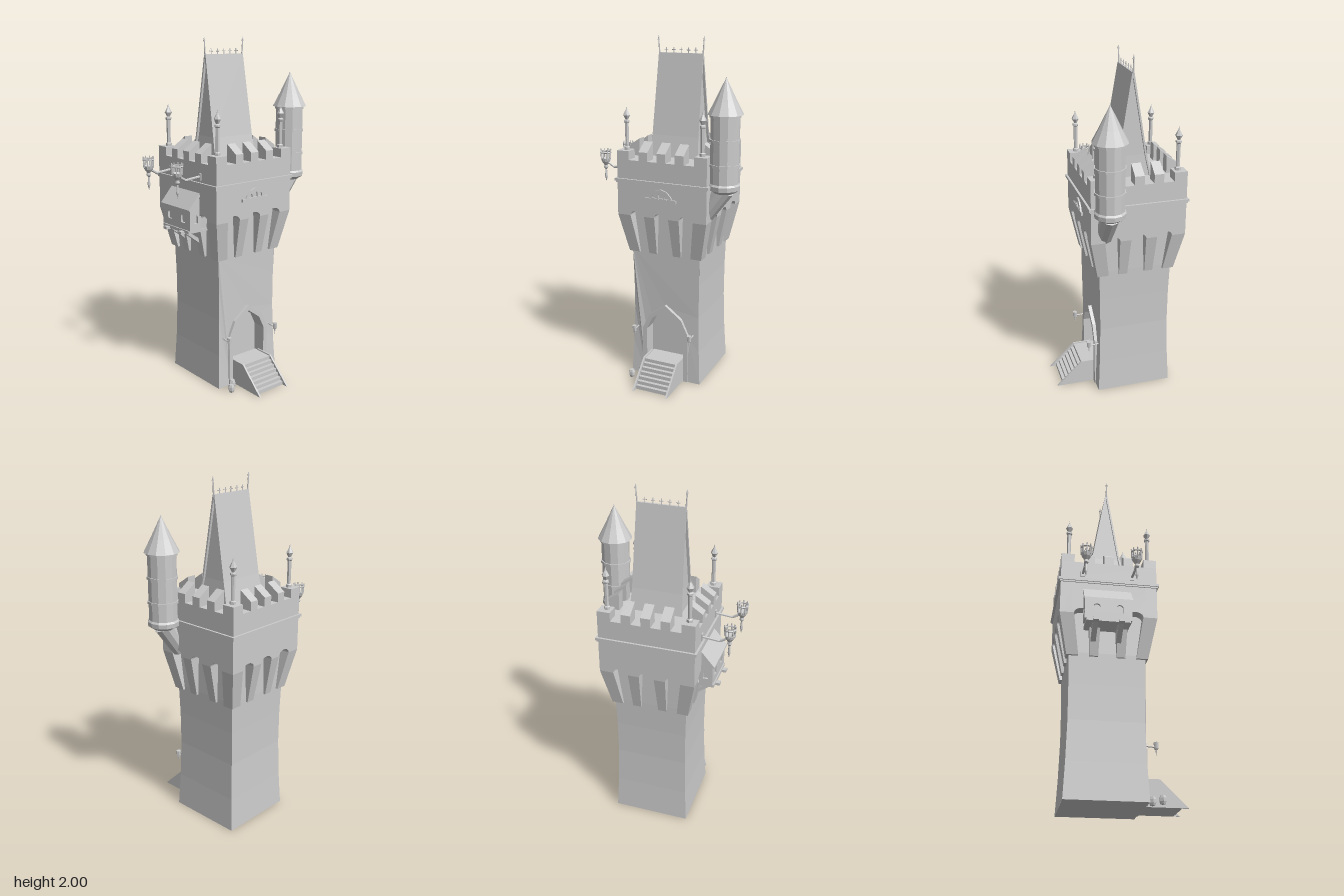
import * as THREE from 'three';

const mat = new THREE.MeshStandardMaterial({ color: 0xcccccc, flatShading: true, side: THREE.DoubleSide });

function add(parent, name, geo, x = 0, y = 0, z = 0) {
  const m = new THREE.Mesh(geo, mat);
  m.name = name;
  m.position.set(x, y, z);
  parent.add(m);
  return m;
}
function group(parent, name, x = 0, y = 0, z = 0) {
  const g = new THREE.Group();
  g.name = name;
  g.position.set(x, y, z);
  parent.add(g);
  return g;
}
// Tapered block: b and t are [x0, x1, z0, z1] at heights y0 and y1
function block(parent, name, y0, b, y1, t = b) {
  const geo = new THREE.BoxGeometry(1, 1, 1), p = geo.attributes.position;
  for (let i = 0; i < p.count; i++) {
    const r = p.getY(i) > 0 ? t : b;
    p.setXYZ(i, r[p.getX(i) > 0 ? 1 : 0], p.getY(i) > 0 ? y1 : y0, r[p.getZ(i) > 0 ? 3 : 2]);
  }
  geo.computeVertexNormals();
  return add(parent, name, geo);
}
const sq = (h) => [-h, h, -h, h];
const shapeOf = (pts) => new THREE.Shape(pts.map(([x, y]) => new THREE.Vector2(x, y)));
const extrude = (shape, depth) => new THREE.ExtrudeGeometry(shape, { depth, bevelEnabled: false, curveSegments: 8 });
const lathe = (pts, n) => new THREE.LatheGeometry(pts.map(([r, y]) => new THREE.Vector2(r, y)), n);
// Side profile in (z, y), swept from x0 to x1
function prism(parent, name, shape, x0, x1) {
  const m = add(parent, name, extrude(shape, x1 - x0), x1);
  m.rotation.y = -Math.PI / 2;
  return m;
}
// Round bar between two points
function bar(parent, name, a, b, r0, r1 = r0, n = 6) {
  const A = new THREE.Vector3(...a), B = new THREE.Vector3(...b), d = B.clone().sub(A);
  const m = add(parent, name, new THREE.CylinderGeometry(r1, r0, d.length(), n));
  m.position.copy(A).add(B).multiplyScalar(0.5);
  m.quaternion.setFromUnitVectors(new THREE.Vector3(0, 1, 0), d.normalize());
  return m;
}
const pointedArch = (w, s, a) => [[-w, 0], [-w, s], [-w * 0.7, s + (a - s) * 0.55], [0, a],
  [w * 0.7, s + (a - s) * 0.55], [w, s], [w, 0]];
function archHole(cx, y0, w, s) {
  const h = new THREE.Path();
  h.moveTo(cx - w, y0);
  h.lineTo(cx + w, y0);
  h.lineTo(cx + w, s);
  h.absarc(cx, s, w, 0, Math.PI, false);
  return h;
}

// Shaft half width by height
const LEVELS = [[0, 0.222], [0.2, 0.212], [0.42, 0.206], [0.62, 0.207], [0.8, 0.212], [1.1, 0.212]];
function halfWidth(y) {
  let i = 1;
  while (i < LEVELS.length - 1 && y > LEVELS[i][0]) i++;
  const [y0, h0] = LEVELS[i - 1], [y1, h1] = LEVELS[i];
  return h0 + (h1 - h0) * (y - y0) / (y1 - y0);
}

function buildTower(tower) {
  for (let k = 0; k < 4; k++) {
    const side = group(tower, 'towerSide');
    side.rotation.y = k * Math.PI / 2;
    // Shaft wall; the one facing +x has the doorway cut out
    let geo;
    if (k === 1) {
      const left = LEVELS.map(([y, h]) => [-h, y]), right = LEVELS.map(([y, h]) => [h, y]).reverse();
      geo = new THREE.ShapeGeometry(shapeOf([...left, ...right, ...pointedArch(0.13, 0.3, 0.45).reverse()]));
    } else {
      geo = new THREE.PlaneGeometry(2, 1, 1, LEVELS.length - 1);
      const p = geo.attributes.position;
      for (let i = 0; i < p.count; i++) {
        const [y, h] = LEVELS[LEVELS.length - 1 - Math.floor(i / 2)];
        p.setXY(i, p.getX(i) * h, y);
      }
    }
    const p = geo.attributes.position;
    for (let i = 0; i < p.count; i++) p.setZ(i, halfWidth(p.getY(i)));
    geo.computeVertexNormals();
    add(side, 'shaftWall', geo);

    // Overhanging wall with three shallow arches
    const s = new THREE.Shape();
    s.moveTo(-0.272, 1.01);
    for (const cx of [-0.15, 0, 0.15]) {
      s.lineTo(cx - 0.043, 1.01);
      s.absellipse(cx, 1.01, 0.043, 0.03, Math.PI, 0, true);
    }
    s.lineTo(0.272, 1.01);
    s.lineTo(0.272, 1.2);
    s.lineTo(-0.272, 1.2);
    add(side, 'archedWall', extrude(s, 0.064), 0, 0, 0.208);

    // Corbels
    for (const c of [-0.075, 0.075])
      block(side, 'corbel', 0.78, [c - 0.024, c + 0.024, 0.2, 0.224], 1.01, [c - 0.032, c + 0.032, 0.2, 0.272]);
    block(side, 'cornerCorbel', 0.78, [0.16, 0.225, 0.16, 0.225], 1.01, [0.193, 0.272, 0.193, 0.272]);

    // Merlons sloping outwards, corner block and spear finial
    for (const c of [-0.11, 0, 0.11])
      prism(side, 'merlon', shapeOf([[0.198, 1.33], [0.272, 1.33], [0.272, 1.38], [0.198, 1.43]]), c - 0.027, c + 0.027);
    block(side, 'cornerMerlon', 1.33, [0.198, 0.272, 0.198, 0.272], 1.38);
    add(side, 'cornerFinial', lathe([[0.017, 1.38], [0.017, 1.395], [0.011, 1.4], [0.012, 1.53], [0.017, 1.535],
      [0.017, 1.545], [0.008, 1.55], [0.021, 1.575], [0.005, 1.605], [0, 1.625]], 6), 0.229, 0, 0.229);
  }
  block(tower, 'shaftFloor', 0, sq(0.221), 0.002);
  block(tower, 'moulding', 1.198, sq(0.278), 1.207);
  block(tower, 'moulding', 1.207, sq(0.284), 1.222);
  block(tower, 'parapet', 1.222, sq(0.272), 1.33);

  // Steep roof: recessed gable core between two overhanging slopes
  const roof = group(tower, 'mainRoof');
  const R = [[1.33, 0.106, 0.149], [1.45, 0.081, 0.142], [1.905, 0.006, 0.135]];
  for (let i = 0; i < 2; i++) {
    const [y0, x0, z0] = R[i], [y1, x1, z1] = R[i + 1];
    for (const s of [-1, 1]) {
      const slope = (x, z) => [Math.min(s * x, s * (x - 0.01)), Math.max(s * x, s * (x - 0.01)), -z, z];
      block(roof, 'roofSlope', y0, slope(x0, z0), y1, slope(x1, z1));
    }
    const core = (x, z) => [-Math.max(x - 0.005, 0.002), Math.max(x - 0.005, 0.002), 0.014 - z, z - 0.014];
    block(roof, 'gable', y0, core(x0, z0), y1 - (i ? 0.01 : 0), core(x1, z1));
  }
  for (const s of [-1, 1]) {
    bar(roof, 'ridgeSpike', [0, 1.89, s * 0.132], [0, 1.985, s * 0.138], 0.005, 0.003);
    add(roof, 'spikeTip', new THREE.ConeGeometry(0.007, 0.025, 6), 0, 1.988, s * 0.138);
  }
  for (const z of [-0.09, -0.045, 0, 0.045, 0.09]) {
    bar(roof, 'ridgeCrest', [0, 1.9, z], [0, 1.935, z], 0.0025);
    bar(roof, 'ridgeCrest', [0, 1.922, z - 0.011], [0, 1.922, z + 0.011], 0.0025);
  }
}

function buildDoor(tower) {
  const door = group(tower, 'doorway');
  door.rotation.y = Math.PI / 2;
  const frame = shapeOf([...pointedArch(0.146, 0.3, 0.467), ...pointedArch(0.118, 0.3, 0.435).reverse()]);
  add(door, 'doorFrame', extrude(frame, 0.09), 0, 0, 0.137);
  add(door, 'doorPanel', extrude(shapeOf(pointedArch(0.13, 0.3, 0.45)), 0.01), 0, 0, 0.137);
  // Fan ornament over the arches
  const fan = new THREE.Shape();
  fan.moveTo(-0.07, 1.125);
  fan.lineTo(0.07, 1.125);
  fan.lineTo(0.06, 1.145);
  fan.lineTo(0.035, 1.17);
  fan.lineTo(0, 1.182);
  fan.lineTo(-0.035, 1.17);
  fan.lineTo(-0.06, 1.145);
  for (const [c, s] of [[-0.036, 1.138], [0, 1.147], [0.036, 1.138]]) fan.holes.push(archHole(c, 1.13, 0.013, s));
  add(door, 'fanOrnament', extrude(fan, 0.013), 0, 0, 0.268);
  block(door, 'ornamentSill', 1.11, [-0.095, 0.095, 0.265, 0.283], 1.127);
}

function buildStairs(root) {
  const st = group(root, 'stairs');
  const cheek = [[0.1, 0], [0.365, 0], [0.213, 0.148], [0.1, 0.148]];
  for (const z of [-0.125, 0.085]) add(st, 'stairCheek', extrude(shapeOf(cheek), 0.01), 0, 0, z);
  block(st, 'landing', 0, [0.08, 0.213, -0.118, 0.088], 0.142);
  for (let i = 0; i < 6; i++)
    block(st, 'step', 0, [0.213 + i * 0.0195, 0.2325 + i * 0.0195, -0.118, 0.088], 0.122 - i * 0.02);
}

function buildTurret(root) {
  const t = group(root, 'turret', 0.097, 0, -0.352);
  add(t, 'turretBody', lathe([[0, 1.18], [0.055, 1.18], [0.086, 1.2], [0.088, 1.225], [0.08, 1.235], [0.08, 1.615]], 12));
  for (const y of [1.335, 1.47, 1.6])
    add(t, 'turretBand', new THREE.CylinderGeometry(0.086, 0.086, 0.014, 12), 0, y, 0);
  add(t, 'turretRoof', lathe([[0, 1.605], [0.098, 1.608], [0.06, 1.68], [0.028, 1.745], [0.005, 1.79], [0, 1.805]], 12));
  bar(t, 'turretStrut', [0, 1.03, 0.115], [0, 1.2, -0.005], 0.047, 0.055, 10);
}

function buildBay(root) {
  const bay = group(root, 'bayWindow', -0.1);
  const front = shapeOf([[-0.13, 0.95], [0.13, 0.95], [0.13, 1.08], [-0.13, 1.08]]);
  for (const c of [-0.063, 0.063]) front.holes.push(archHole(c, 0.99, 0.019, 1.022));
  add(bay, 'bayFront', extrude(front, 0.012), 0, 0, 0.313);
  for (const x of [-0.13, 0.118]) {
    const cheek = shapeOf([[0.25, 0.95], [0.313, 0.95], [0.313, 1.08], [0.25, 1.16]]);
    cheek.holes.push(archHole(0.285, 0.99, 0.014, 1.022));
    prism(bay, 'baySide', cheek, x, x + 0.012);
  }
  block(bay, 'bayCore', 0.95, [-0.11, 0.11, 0.25, 0.306], 1.08);
  prism(bay, 'bayRoof', shapeOf([[0.25, 1.172], [0.336, 1.073], [0.336, 1.062], [0.25, 1.15]]), -0.135, 0.135);
  block(bay, 'baySill', 0.935, [-0.122, 0.122, 0.2, 0.332], 0.952);
  for (const c of [-0.07, 0.07]) {
    block(bay, 'floorBeam', 0.93, [c - 0.015, c + 0.015, 0.2, 0.357], 0.945);
    prism(bay, 'brace', shapeOf([[0.2, 0.865], [0.225, 0.855], [0.325, 0.932], [0.297, 0.932]]), c - 0.014, c + 0.014);
  }
}

function buildBrazier(root, x) {
  const b = group(root, 'brazier', x);
  const z = 0.413;
  block(b, 'wallPlate', 1.235, [-0.012, 0.012, 0.25, 0.267], 1.275);
  bar(b, 'arm', [0, 1.257, 0.26], [0, 1.247, 0.36], 0.007);
  bar(b, 'arm', [0, 1.247, 0.36], [0, 1.28, z], 0.007);
  add(b, 'bowl', lathe([[0, 1.155], [0.008, 1.185], [0.005, 1.23], [0.013, 1.24], [0.01, 1.255], [0.024, 1.275],
    [0.03, 1.295], [0.024, 1.295], [0, 1.28]], 10), 0, 0, z);
  const ring = add(b, 'rim', new THREE.TorusGeometry(0.029, 0.005, 5, 12), 0, 1.33, z);
  ring.rotation.x = Math.PI / 2;
  for (let i = 0; i < 8; i++) {
    const a = i * Math.PI / 4, c = Math.cos(a), s = Math.sin(a);
    bar(b, 'basketBar', [c * 0.027, 1.285, z + s * 0.027], [c * 0.03, 1.347, z + s * 0.03], 0.004, 0.004, 4);
  }
}

export function createModel() {
  const root = new THREE.Group();
  root.name = 'castleTower';
  const tower = group(root, 'tower', -0.088, 0, -0.012);
  buildTower(tower);
  buildDoor(tower);
  buildStairs(root);
  buildTurret(root);
  buildBay(root);
  for (const x of [-0.238, 0.042]) buildBrazier(root, x);
  // Torches beside the door
  for (const z of [0.168, -0.186]) {
    const t = group(root, 'doorTorch', 0, 0, z);
    bar(t, 'torchArm', [0.11, 0.303, 0], [0.18, 0.298, 0], 0.004);
    add(t, 'torch', lathe([[0, 0.25], [0.005, 0.285], [0.012, 0.29], [0.014, 0.325], [0, 0.325]], 6), 0.18);
  }
  // Barrels at the foot of the stairs
  for (const [x, z] of [[0.163, 0.132], [0.207, 0.175]])
    add(root, 'barrel', lathe([[0, 0], [0.014, 0], [0.019, 0.014], [0.019, 0.032], [0.014, 0.046], [0, 0.046]], 6), x, 0, z);
  return root;
}
